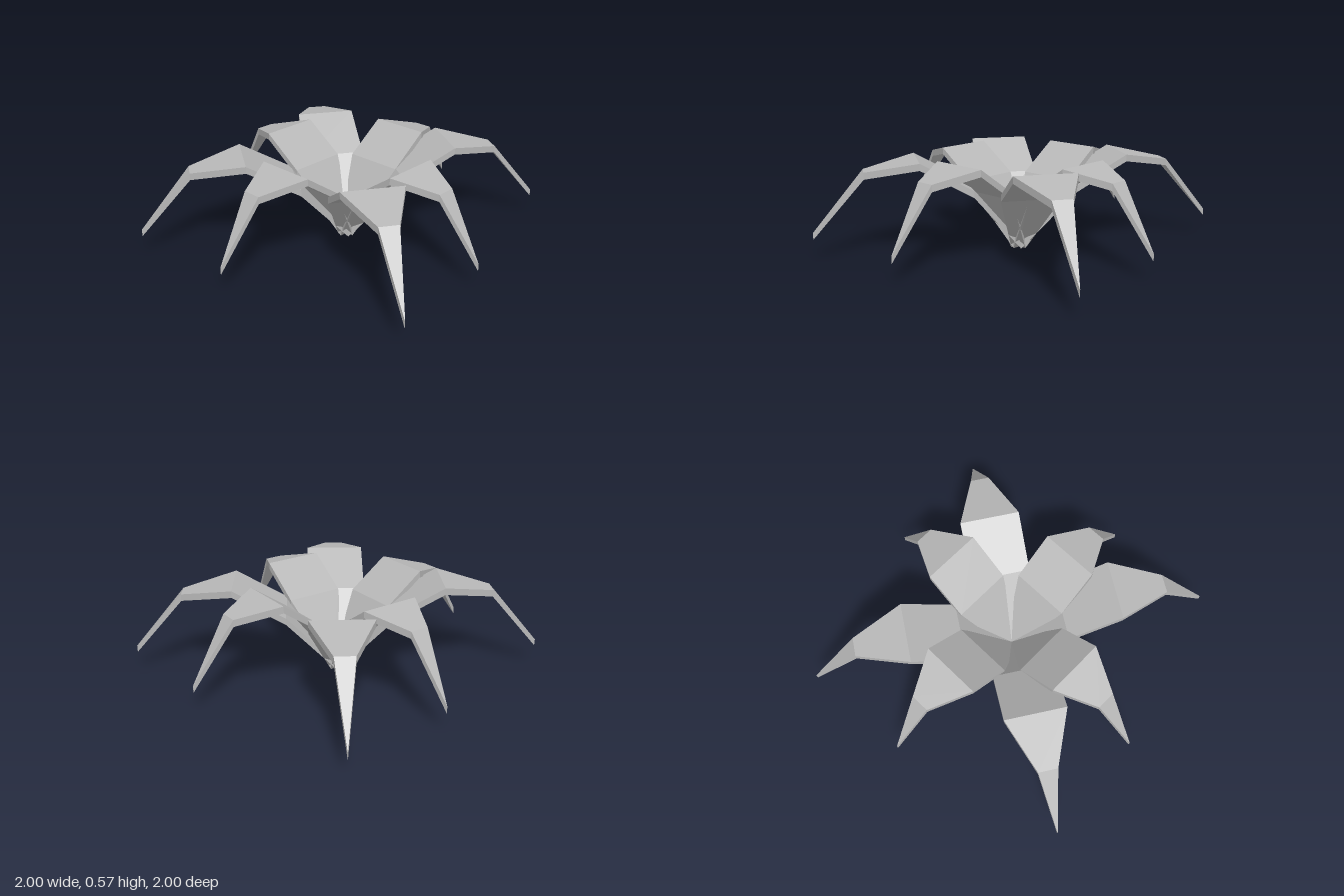
import * as THREE from 'three';

// Petal stations: distance outward, top height, half width
const STATIONS = [
  [0, 0.04, 0.05],
  [0.24, 0.40, 0.175],
  [0.48, 0.57, 0.175],
  [0.72, 0.51, 0.055],
  [0.955, 0.165, 0.001],
];
const THICKNESS = 0.04;

// One closed, bent petal along +x, lofted through four-cornered sections
function petalGeometry(reach) {
  const pos = [];
  const index = [];
  STATIONS.forEach(([r, y, w]) => {
    const x = r * reach;
    pos.push(x, y, -w, x, y, w, x, y - THICKNESS, w, x, y - THICKNESS, -w);
  });
  for (let i = 0; i < STATIONS.length - 1; i++) {
    for (let k = 0; k < 4; k++) {
      const a = i * 4 + k;
      const b = i * 4 + ((k + 1) % 4);
      index.push(a, b, b + 4, a, b + 4, a + 4);
    }
  }
  // Base and tip caps
  const e = (STATIONS.length - 1) * 4;
  index.push(0, 3, 2, 0, 2, 1, e, e + 1, e + 2, e, e + 2, e + 3);

  const indexed = new THREE.BufferGeometry();
  indexed.setAttribute('position', new THREE.Float32BufferAttribute(pos, 3));
  indexed.setIndex(index);
  const geometry = indexed.toNonIndexed();
  geometry.computeVertexNormals();
  return geometry;
}

export function createModel() {
  const model = new THREE.Group();
  model.name = 'openFlower';
  const petalGrey = new THREE.MeshStandardMaterial({ color: 0xb8b8b8, flatShading: true });
  petalGrey.name = 'petal grey';

  // A ring of four equal petals, a quarter turn apart
  const addRing = (name, reach, turn) => {
    const ring = new THREE.Group();
    ring.name = name;
    const geometry = petalGeometry(reach);
    for (let i = 0; i < 4; i++) {
      const petal = new THREE.Mesh(geometry, petalGrey);
      petal.name = 'petal';
      petal.rotation.y = turn + (i * Math.PI) / 2;
      ring.add(petal);
    }
    model.add(ring);
  };

  addRing('innerPetals', 1, 0);
  addRing('outerPetals', 1.255, THREE.MathUtils.degToRad(-33.5)); // longer, twisted off the diagonal
  return model;
}
